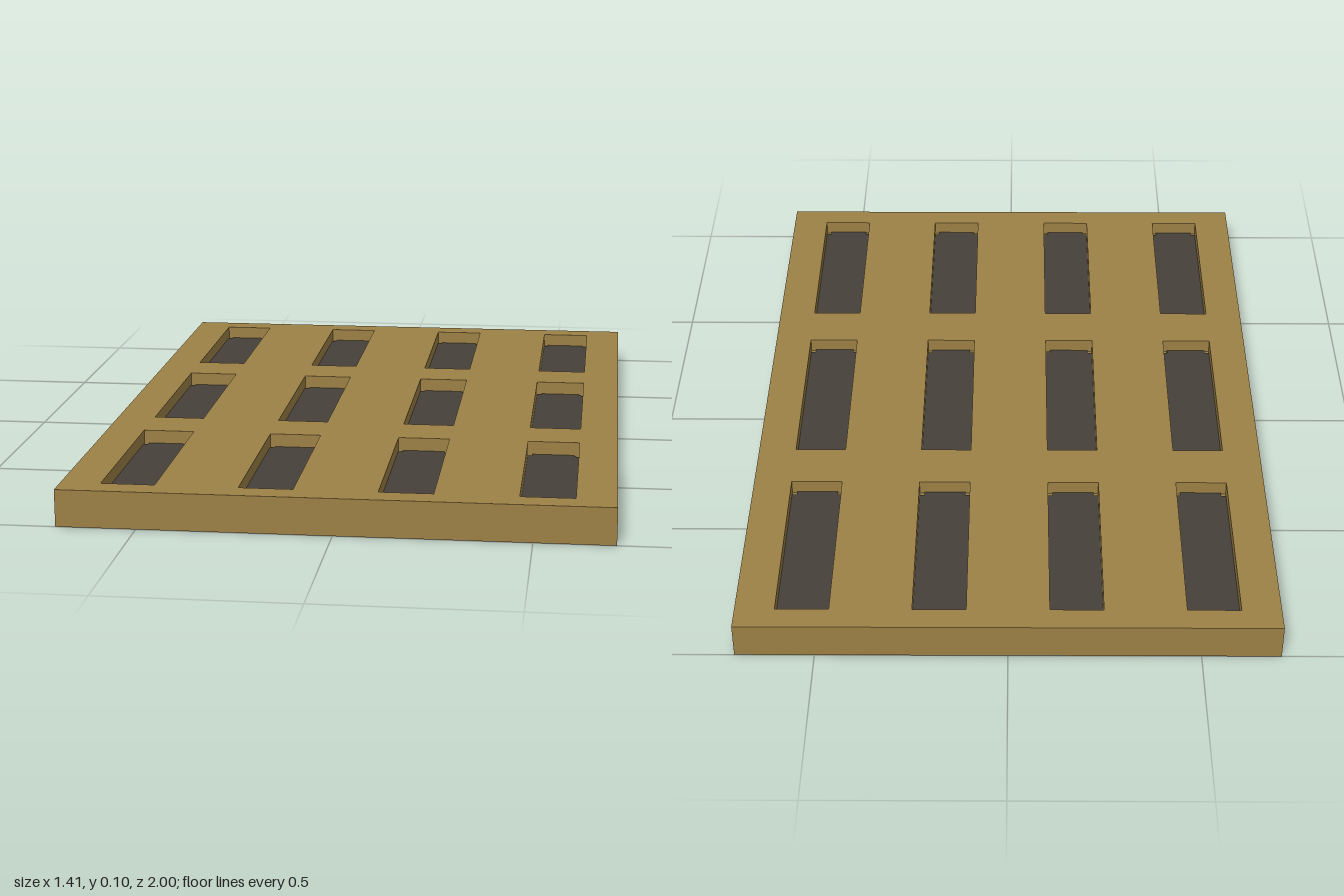
import * as THREE from 'three';

const W = 1.414, L = 2, H = 0.098, FLOOR = 0.058;
const columns = [-0.533, -0.178, 0.178, 0.533];
const rows = [[-0.672, 0.52], [0, 0.535], [0.672, 0.52]]; // centre z, length
const POCKET = 0.14, NOTCH = 0.013;

// Closed outline from [x, y] pairs
function outline(points, Type = THREE.Shape) {
  return new Type(points.map(([x, y]) => new THREE.Vector2(x, y)));
}

function rect(cx, cy, w, l) {
  const x = w / 2, y = l / 2;
  return [[cx - x, cy - y], [cx + x, cy - y], [cx + x, cy + y], [cx - x, cy + y]];
}

// Rectangle with a small square missing at each corner
function notchedRect(w, l, n) {
  const x = w / 2, y = l / 2;
  return [
    [-x + n, -y], [x - n, -y], [x - n, -y + n], [x, -y + n],
    [x, y - n], [x - n, y - n], [x - n, y], [-x + n, y],
    [-x + n, y - n], [-x, y - n], [-x, -y + n], [-x + n, -y + n],
  ];
}

// Extrude a flat outline upwards
function slab(shape, depth) {
  return new THREE.ExtrudeGeometry(shape, { depth, bevelEnabled: false }).rotateX(-Math.PI / 2);
}

export function createModel() {
  const model = new THREE.Group();
  model.name = 'pocketTray';
  const tan = new THREE.MeshStandardMaterial({ color: 0x9c8145 });
  tan.name = 'tan';
  const charcoal = new THREE.MeshStandardMaterial({ color: 0x46403a });
  charcoal.name = 'charcoal';

  function add(name, geometry, material, x, y, z) {
    const mesh = new THREE.Mesh(geometry, material);
    mesh.name = name;
    mesh.position.set(x, y, z);
    model.add(mesh);
  }

  // Solid base forming the pocket floors
  add('base', new THREE.BoxGeometry(W, FLOOR, L), tan, 0, FLOOR / 2, 0);

  // Upper frame with a grid of pockets
  const frame = outline(rect(0, 0, W, L));
  for (const x of columns) {
    for (const [z, length] of rows) {
      frame.holes.push(outline(rect(x, -z, POCKET, length), THREE.Path));
    }
  }
  add('frame', slab(frame, H - FLOOR), tan, 0, FLOOR, 0);

  // Dark insert lying in each pocket
  for (const [z, length] of rows) {
    const insert = slab(outline(notchedRect(POCKET, length, NOTCH)), 0.004);
    for (const x of columns) add('pocketInsert', insert, charcoal, x, FLOOR, z);
  }
  return model;
}
